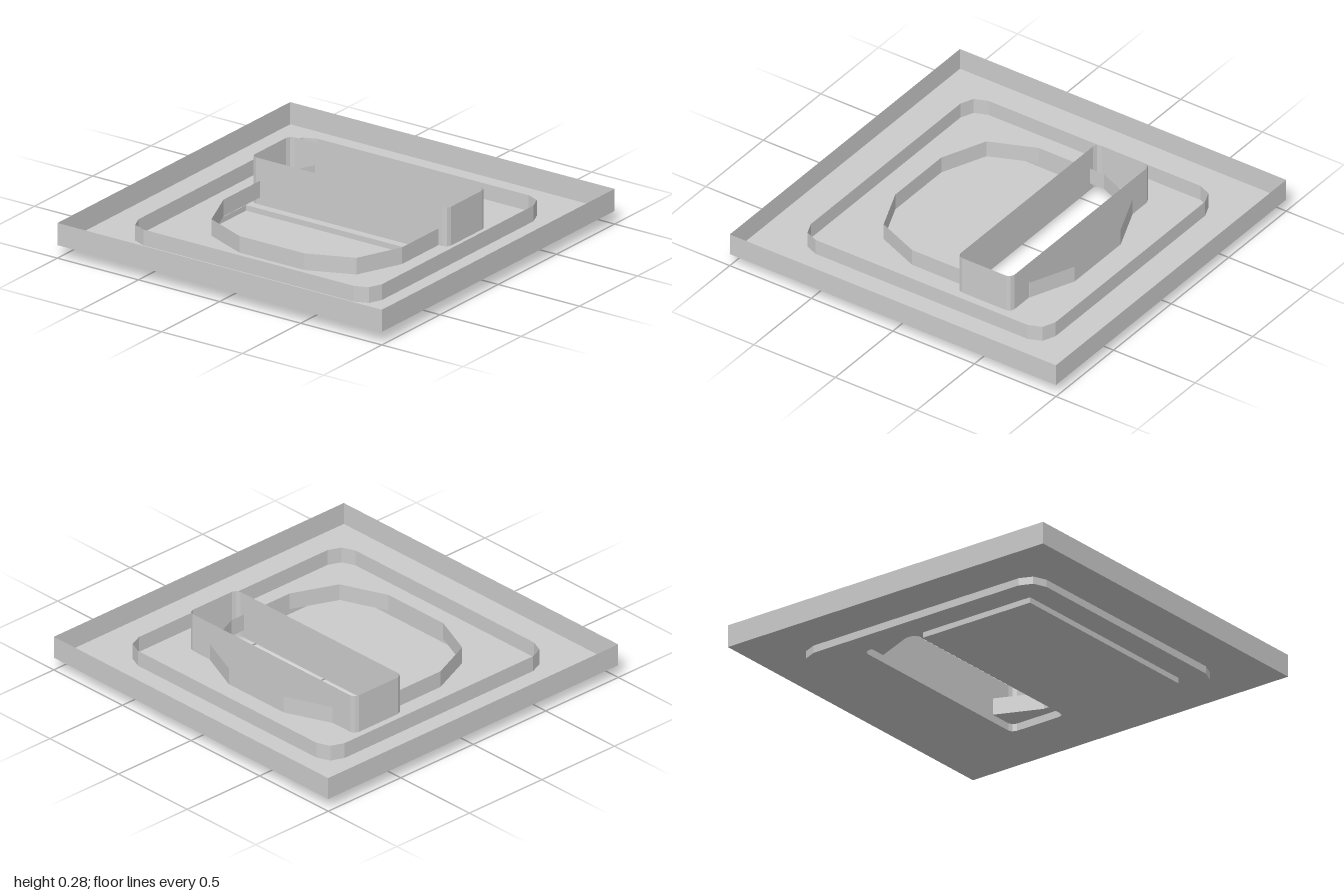
import * as THREE from 'three';

const material = new THREE.MeshStandardMaterial({ color: 0xcccccc, flatShading: true, side: THREE.DoubleSide });

// Rectangle outline in (x, z) with optional corners of two facets each
function rectangle(x0, x1, z0, z1, r = 0) {
  if (!r) return [[x0, z0], [x1, z0], [x1, z1], [x0, z1]].map(([x, z]) => new THREE.Vector2(x, z));
  const centres = [[x1 - r, z1 - r], [x0 + r, z1 - r], [x0 + r, z0 + r], [x1 - r, z0 + r]];
  const points = [];
  centres.forEach(([cx, cz], corner) => {
    for (let i = 0; i <= 2; i++) {
      const a = (corner + i / 2) * Math.PI / 2;
      points.push(new THREE.Vector2(cx + r * Math.cos(a), cz + r * Math.sin(a)));
    }
  });
  return points;
}

// Thin horizontal sheet with holes
function sheet(name, outline, y, holes = []) {
  const shape = new THREE.Shape(outline);
  shape.holes = holes.map((h) => new THREE.Path(h));
  const geometry = new THREE.ShapeGeometry(shape);
  geometry.rotateX(-Math.PI / 2).scale(1, 1, -1).translate(0, y, 0);
  // Mirroring reverses the corners, so turn each face back upwards
  const index = geometry.index.array;
  for (let i = 0; i < index.length; i += 3) [index[i], index[i + 1]] = [index[i + 1], index[i]];
  geometry.computeVertexNormals();
  const mesh = new THREE.Mesh(geometry, material);
  mesh.name = name;
  return mesh;
}

// Thin upright wall along a closed outline
function wall(name, outline, y0, y1) {
  const positions = [];
  outline.forEach((a, i) => {
    const b = outline[(i + 1) % outline.length];
    positions.push(a.x, y0, a.y, a.x, y1, a.y, b.x, y1, b.y);
    positions.push(a.x, y0, a.y, b.x, y1, b.y, b.x, y0, b.y);
  });
  const geometry = new THREE.BufferGeometry();
  geometry.setAttribute('position', new THREE.Float32BufferAttribute(positions, 3));
  geometry.computeVertexNormals();
  const mesh = new THREE.Mesh(geometry, material);
  mesh.name = name;
  return mesh;
}

export function createModel() {
  const group = new THREE.Group();
  group.name = 'steppedTray';

  const tray = rectangle(-1, 1, -1, 1);
  const pan = rectangle(-0.75, 0.75, -0.75, 0.75, 0.1);
  const plate = rectangle(-0.61, 0.07, -0.605, 0.605);
  const slot = rectangle(0.115, 0.445, -0.605, 0.605, 0.03);
  const ring = [];
  for (const [sx, sz] of [[1, 1], [-1, 1], [-1, -1], [1, -1]]) {
    const corner = [[0.55, 0.2], [0.447, 0.447], [0.2, 0.55]];
    if (sx !== sz) corner.reverse();
    corner.forEach(([x, z]) => ring.push(new THREE.Vector2(sx * x, sz * z)));
  }

  // Outer tray with a twelve-sided opening
  group.add(sheet('trayFloor', tray, 0.07, [ring]), wall('trayRim', tray, 0.07, 0.19));
  group.add(wall('openingCollar', ring, 0.07, 0.16));

  // Rounded pan below the tray, its wall rising through the floor
  group.add(sheet('panFloor', pan, 0.03, [plate, slot]), wall('panWall', pan, 0.03, 0.155));

  // Sunken plate at the bottom
  group.add(sheet('lowerPlate', plate, 0), wall('lowerPlateEdge', plate, 0, 0.03));

  // Tall open slot
  group.add(wall('slotWall', slot, 0.03, 0.28));

  return group;
}
